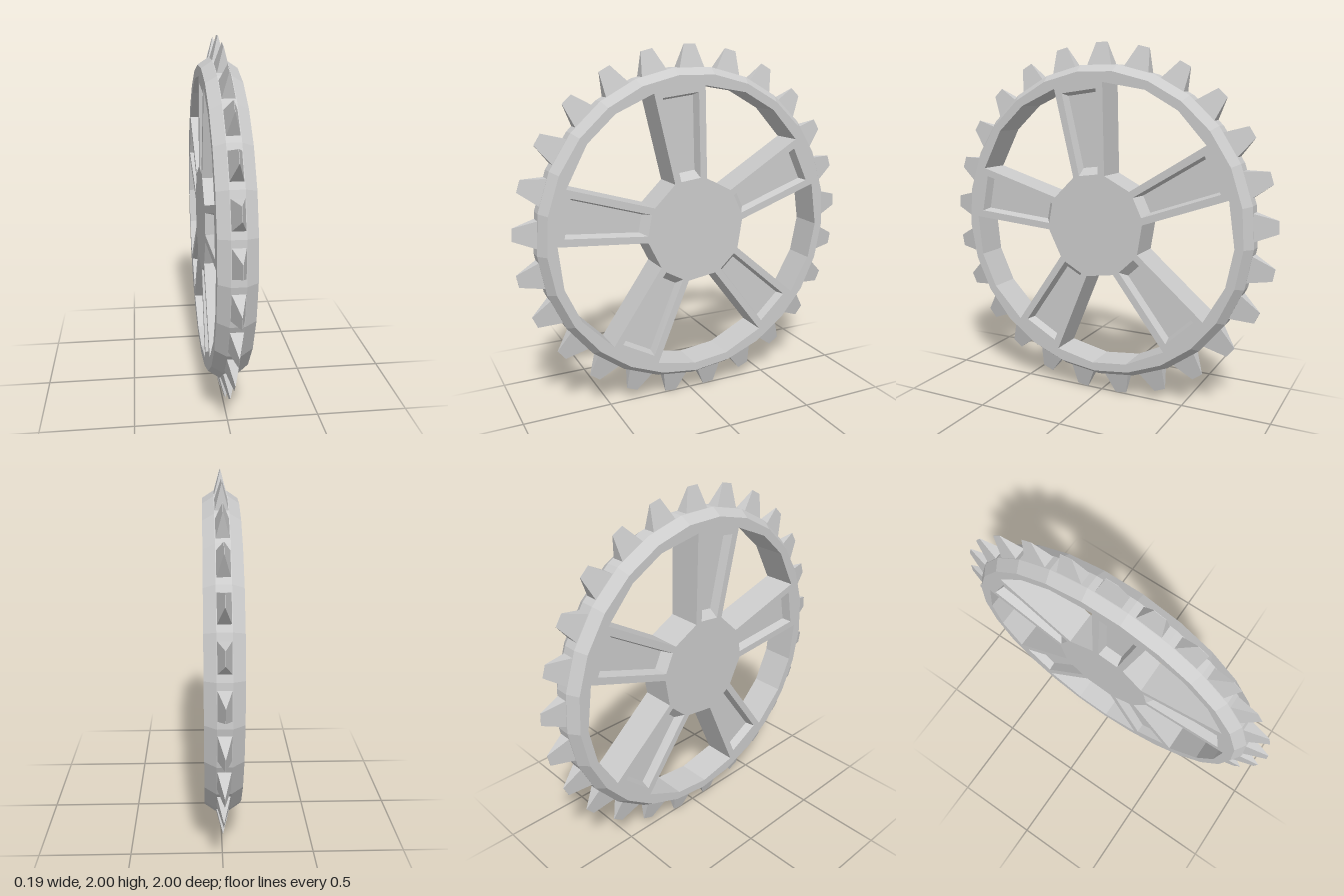
import * as THREE from 'three';

const material = new THREE.MeshStandardMaterial({ color: 0xcccccc, flatShading: true, side: THREE.DoubleSide });
const HALF = 0.095;      // half thickness of the wheel
const FLOOR = 0.045;     // height of the recessed spoke panels
const TEETH = 25;
const SPOKES = 5;
const SPOKE_ANGLE = 97.3;

const polar = (r, deg) => {
  const a = THREE.MathUtils.degToRad(deg);
  return new THREE.Vector2(r * Math.cos(a), r * Math.sin(a));
};

function addMesh(parent, name, geometry) {
  const mesh = new THREE.Mesh(geometry, material);
  mesh.name = name;
  parent.add(mesh);
  return mesh;
}

// Wall joining two loops of equal length; counter-clockwise loops face outward
function wall(loopA, zA, loopB, zB) {
  const pos = [], n = loopA.length;
  for (let i = 0; i < n; i++) {
    const j = (i + 1) % n;
    const a = [loopA[i].x, loopA[i].y, zA], b = [loopA[j].x, loopA[j].y, zA];
    const c = [loopB[j].x, loopB[j].y, zB], d = [loopB[i].x, loopB[i].y, zB];
    pos.push(...a, ...b, ...c, ...a, ...c, ...d);
  }
  const g = new THREE.BufferGeometry();
  g.setAttribute('position', new THREE.Float32BufferAttribute(pos, 3));
  g.computeVertexNormals();
  return g;
}

// Flat face at height z, turned towards the side it lies on
function face(points, z, holes = []) {
  const shape = new THREE.Shape(points);
  shape.holes = holes.map((h) => new THREE.Path(h));
  const g = new THREE.ShapeGeometry(shape);
  g.translate(0, 0, z);
  if (z < 0) {
    g.index.array.reverse();
    g.computeVertexNormals();
  }
  return g;
}

const ring = (r) => Array.from({ length: TEETH }, (_, i) => polar(r, 90 + (i + 0.5) * 360 / TEETH));

// Clockwise outline of the opening that follows spoke k
function openingLoop(k) {
  const t = SPOKE_ANGLE - k * 360 / SPOKES;
  return [
    polar(0.29, t - 19.5), polar(0.787, t - 10.9), polar(0.8, t - 29),
    polar(0.8, t - 44.2), polar(0.79, t - 61), polar(0.295, t - 53),
  ];
}

// Clockwise trapezoid along spoke k: radial limits and half widths
function panelLoop(k, inner, outer, wInner, wOuter) {
  const a = THREE.MathUtils.degToRad(SPOKE_ANGLE - k * 360 / SPOKES);
  return [[inner, wInner], [outer, wOuter], [outer, -wOuter], [inner, -wInner]]
    .map(([r, w]) => new THREE.Vector2(r, w).rotateAround(new THREE.Vector2(), a));
}

function toothGeometry() {
  // Wedge: wide base on the rim, knife edge at the tip
  const g = new THREE.BoxGeometry(2, 1, 2);
  const p = g.attributes.position;
  for (let i = 0; i < p.count; i++) {
    const tip = p.getY(i) > 0;
    p.setXYZ(i, p.getX(i) * (tip ? 0.034 : 0.077), tip ? 1 : 0.865, p.getZ(i) * (tip ? 0.001 : 0.037));
  }
  g.computeVertexNormals();
  return g;
}

export function createModel() {
  const model = new THREE.Group();
  model.name = 'sprocketWheel';
  const wheel = new THREE.Group();
  wheel.name = 'wheel';
  wheel.rotation.y = Math.PI / 2;
  wheel.position.y = 0.997;
  model.add(wheel);

  // Rim: flat tread with a bevel on each side
  const side = ring(0.847), tread = ring(0.885);
  addMesh(wheel, 'rimTread', wall(tread, -0.037, tread, 0.037));
  addMesh(wheel, 'rimBevelLeft', wall(tread, 0.037, side, HALF));
  addMesh(wheel, 'rimBevelRight', wall(side, -HALF, tread, -0.037));

  // Openings between the spokes and recessed panels on the spokes
  const openings = [], panels = [];
  for (let k = 0; k < SPOKES; k++) {
    const opening = openingLoop(k);
    const panel = panelLoop(k, 0.285, 0.745, 0.059, 0.106);
    const floor = panelLoop(k, 0.325, 0.73, 0.05, 0.092);
    openings.push(opening);
    panels.push(panel);
    addMesh(wheel, 'openingWall', wall(opening, -HALF, opening, HALF));
    addMesh(wheel, 'panelWallLeft', wall(floor, FLOOR, panel, HALF));
    addMesh(wheel, 'panelWallRight', wall(panel, -HALF, floor, -FLOOR));
    for (const s of [1, -1]) addMesh(wheel, 'panelFloor', face(floor, s * FLOOR));
  }

  // Side faces: hub, spokes and rim in one plane
  for (const s of [1, -1]) {
    addMesh(wheel, s > 0 ? 'sideFaceLeft' : 'sideFaceRight', face(side, s * HALF, [...openings, ...panels]));
  }

  // Teeth around the rim
  const tooth = toothGeometry();
  for (let i = 0; i < TEETH; i++) {
    addMesh(wheel, 'tooth', tooth).rotation.z = i * 2 * Math.PI / TEETH;
  }
  return model;
}
